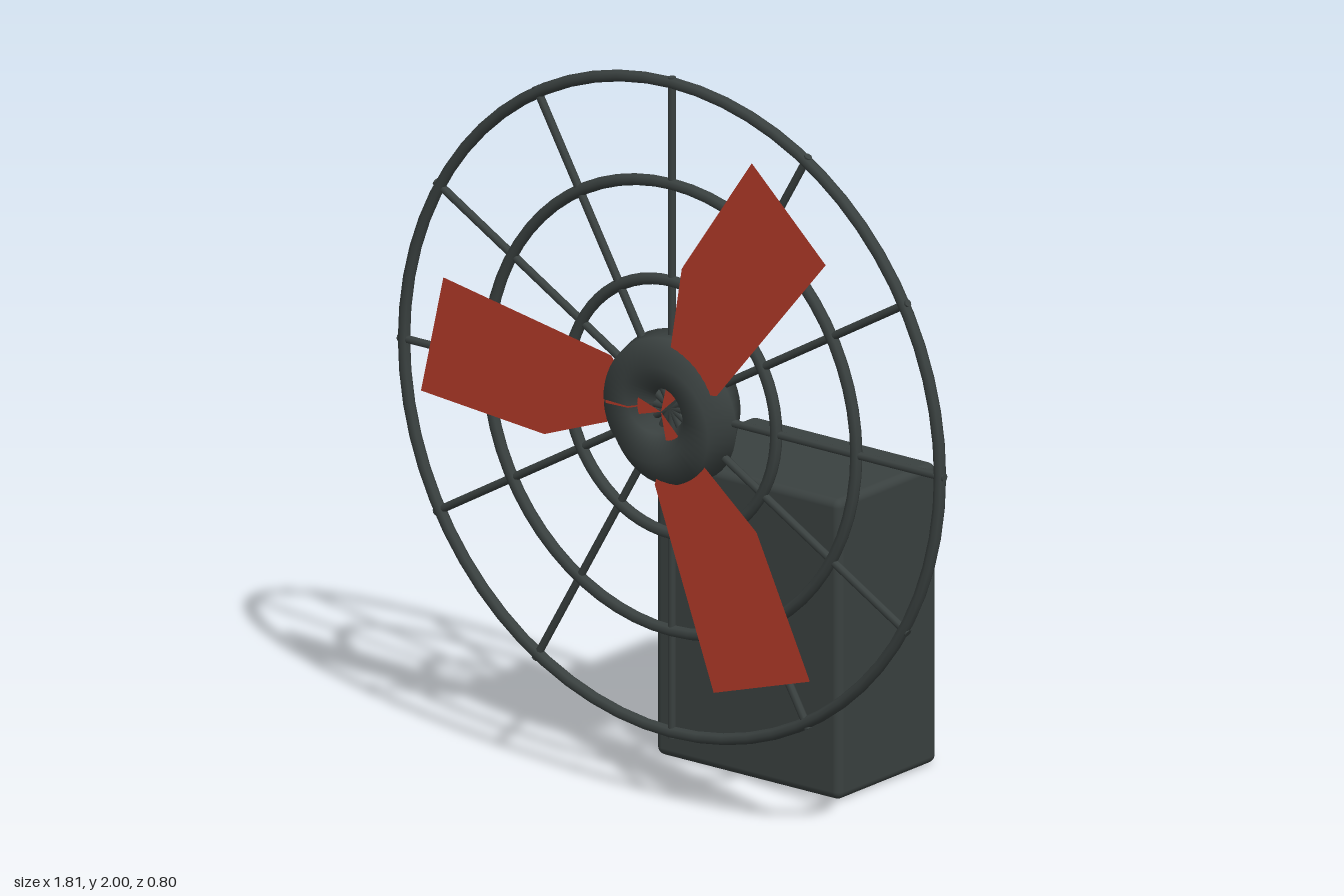
import * as THREE from 'three';
import { RoundedBoxGeometry } from 'three/addons/geometries/RoundedBoxGeometry.js';

export function createModel() {
  const model = new THREE.Group();
  model.name = 'cagedFan';

  const dark = new THREE.MeshStandardMaterial({ color: 0x3a4140, side: THREE.DoubleSide });
  dark.name = 'charcoal';
  const red = new THREE.MeshStandardMaterial({ color: 0xb53a29, side: THREE.DoubleSide });
  red.name = 'bladeRed';

  const add = (parent, name, geometry, material) => {
    const mesh = new THREE.Mesh(geometry, material);
    mesh.name = name;
    parent.add(mesh);
    return mesh;
  };

  // Motor housing standing on the ground, behind the fan
  add(model, 'motorBox', new RoundedBoxGeometry(0.61, 0.82, 0.41, 3, 0.022), dark)
    .position.set(0, 0.41, -0.195);

  // Everything on the fan is placed around its hub
  const fan = new THREE.Group();
  fan.name = 'fan';
  fan.position.set(0, 1.096, 0.32);
  model.add(fan);

  // Guard: concentric rings and twelve spokes
  for (const radius of [0.887, 0.61, 0.345]) {
    add(fan, 'guardRing', new THREE.TorusGeometry(radius, 0.016, 8, 64), dark);
  }
  const spokeLength = 0.903;
  const spokeGeometry = new THREE.CylinderGeometry(0.011, 0.011, spokeLength, 8);
  spokeGeometry.translate(0, spokeLength / 2, 0);
  for (let i = 0; i < 12; i++) {
    add(fan, 'guardSpoke', spokeGeometry, dark).rotation.z = (i * Math.PI) / 6;
  }

  // Hub: six-sided tube bent into a ring, slowly twisting, with a narrow slit on the right
  const slit = 0.05, sides = 6, steps = 48;
  const hubGeometry = new THREE.TorusGeometry(0.131, 0.08, sides, steps, Math.PI * 2 - slit);
  const p = hubGeometry.attributes.position, n = hubGeometry.attributes.normal;
  for (let j = 0, k = 0; j <= sides; j++) {
    for (let i = 0; i <= steps; i++, k++) {
      const u = Math.PI + slit / 2 + (i / steps) * (Math.PI * 2 - slit);
      const v = (j / sides) * Math.PI * 2 + u / 3; // flats face outward at top and bottom
      const r = 0.131 + 0.08 * Math.cos(v);
      p.setXYZ(k, r * Math.cos(u), r * Math.sin(u), 0.08 * Math.sin(v));
      n.setXYZ(k, Math.cos(v) * Math.cos(u), Math.cos(v) * Math.sin(u), Math.sin(v));
    }
  }
  add(fan, 'hub', hubGeometry, dark);

  // Three flat blades a little in front of the guard
  const outline = [
    [0, 0], [-0.082, 0.026], [-0.165, 0.119], [-0.72, 0.214],
    [-0.794, -0.111], [-0.386, -0.143], [-0.165, -0.06], [-0.082, -0.024],
  ].map(([x, y]) => new THREE.Vector2(x, y));
  const bladeGeometry = new THREE.ShapeGeometry(new THREE.Shape(outline));
  for (let i = 0; i < 3; i++) {
    const blade = add(fan, 'blade', bladeGeometry, red);
    blade.position.z = 0.046;
    blade.rotation.z = (i * Math.PI * 2) / 3;
  }

  return model;
}
